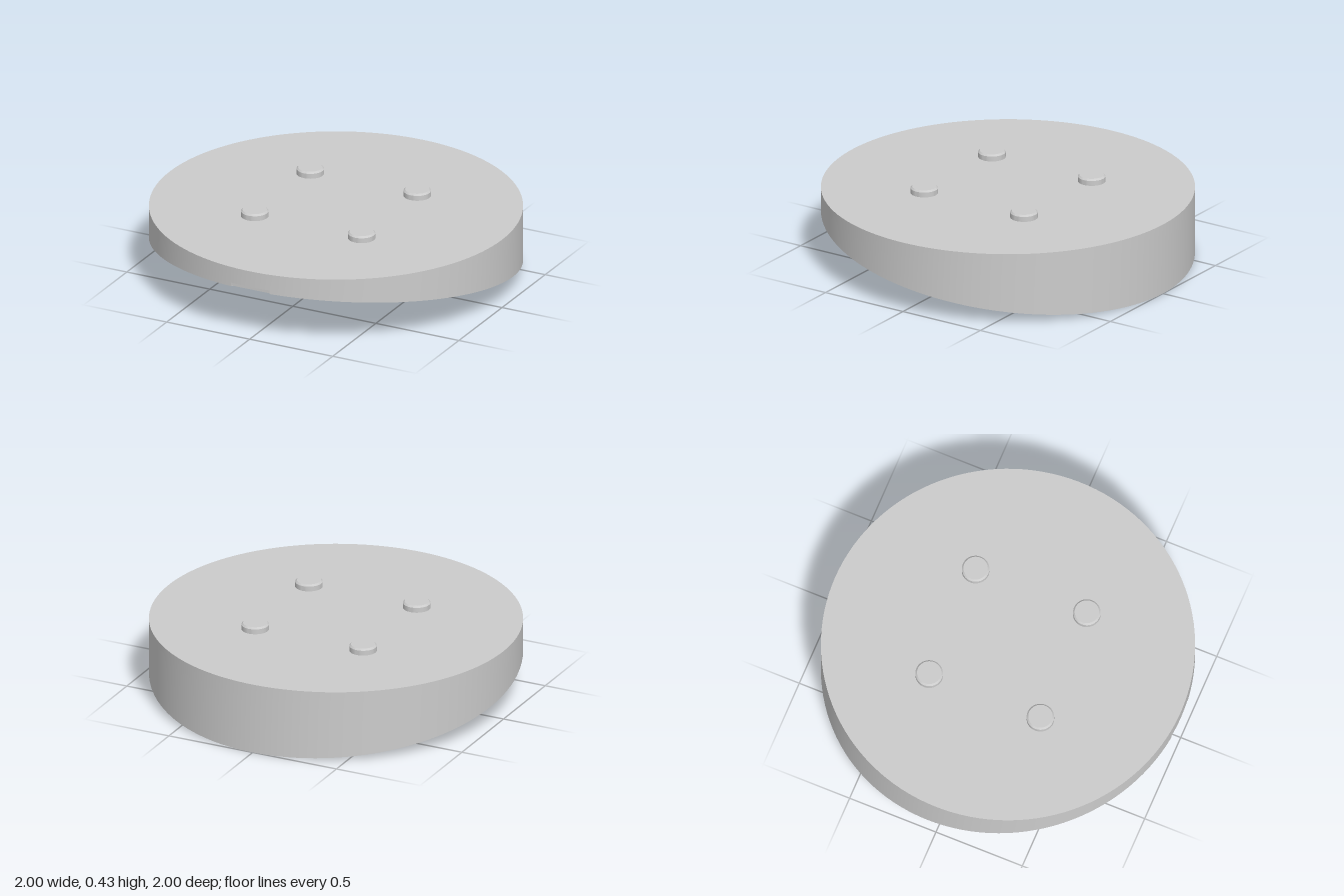
import * as THREE from 'three';
import { toCreasedNormals } from 'three/addons/utils/BufferGeometryUtils.js';

const TOP = 0.395;      // flat upper face
const LEDGE = 0.304;    // ceiling of the front notch
const NOTCH_X = 0.115;  // half width of the notch
const NOTCH_Z = 0.98;   // back wall of the notch
const floorY = (z) => 0.142 * (1 + z); // sloping underside

// Round outline, anticlockwise from above; the first stretch is the notch
function outline() {
  const half = Math.asin(NOTCH_X);
  const points = [];
  const arc = (from, to, steps, notched) => {
    for (let i = 0; i <= steps; i++) {
      const a = from + ((to - from) * i) / steps;
      const x = Math.sin(a), z = Math.cos(a);
      points.push({ x, z, innerZ: notched ? NOTCH_Z : z });
    }
  };
  arc(-half, half, 6, true);
  arc(half, 2 * Math.PI - half, 120, false);
  return points;
}

// Wedge-shaped disc: four stacked loops joined by bands, closed by two fans
function wedgeGeometry() {
  const points = outline();
  const loops = [
    points.map((p) => [p.x, floorY(p.innerZ), p.innerZ]),
    points.map((p) => [p.x, LEDGE, p.innerZ]),
    points.map((p) => [p.x, LEDGE, p.z]),
    points.map((p) => [p.x, TOP, p.z]),
  ];
  const positions = [];
  const va = new THREE.Vector3(), vb = new THREE.Vector3(), vc = new THREE.Vector3();
  const triangle = (a, b, c) => {
    va.fromArray(a);
    vb.fromArray(b).sub(va);
    vc.fromArray(c).sub(va);
    if (vb.cross(vc).length() > 1e-9) positions.push(...a, ...b, ...c);
  };
  const n = points.length;
  for (let i = 0; i < n; i++) {
    const j = (i + 1) % n;
    for (let k = 0; k < 3; k++) {
      const low = loops[k], high = loops[k + 1];
      triangle(low[i], low[j], high[j]);
      triangle(low[i], high[j], high[i]);
    }
    triangle([0, TOP, 0], loops[3][i], loops[3][j]);
    triangle([0, floorY(0), 0], loops[0][j], loops[0][i]);
  }
  const geometry = new THREE.BufferGeometry();
  geometry.setAttribute('position', new THREE.Float32BufferAttribute(positions, 3));
  return toCreasedNormals(geometry, 0.4);
}

// Short stud with a small chamfer around its top
function studGeometry() {
  const profile = [[0.074, 0], [0.074, 0.028], [0.065, 0.037], [0, 0.037]]
    .map(([r, y]) => new THREE.Vector2(r, y));
  return toCreasedNormals(new THREE.LatheGeometry(profile, 48), 0.4);
}

export function createModel() {
  const model = new THREE.Group();
  model.name = 'wedgeFoot';
  const material = new THREE.MeshStandardMaterial({ color: 0xcccccc });

  const disc = new THREE.Mesh(wedgeGeometry(), material);
  disc.name = 'wedgeDisc';
  model.add(disc);

  // Four studs in a square
  const studs = new THREE.Group();
  studs.name = 'studs';
  const geometry = studGeometry();
  for (const x of [-0.322, 0.322]) {
    for (const z of [-0.322, 0.322]) {
      const stud = new THREE.Mesh(geometry, material);
      stud.name = 'stud';
      stud.position.set(x, TOP, z);
      studs.add(stud);
    }
  }
  model.add(studs);
  return model;
}
